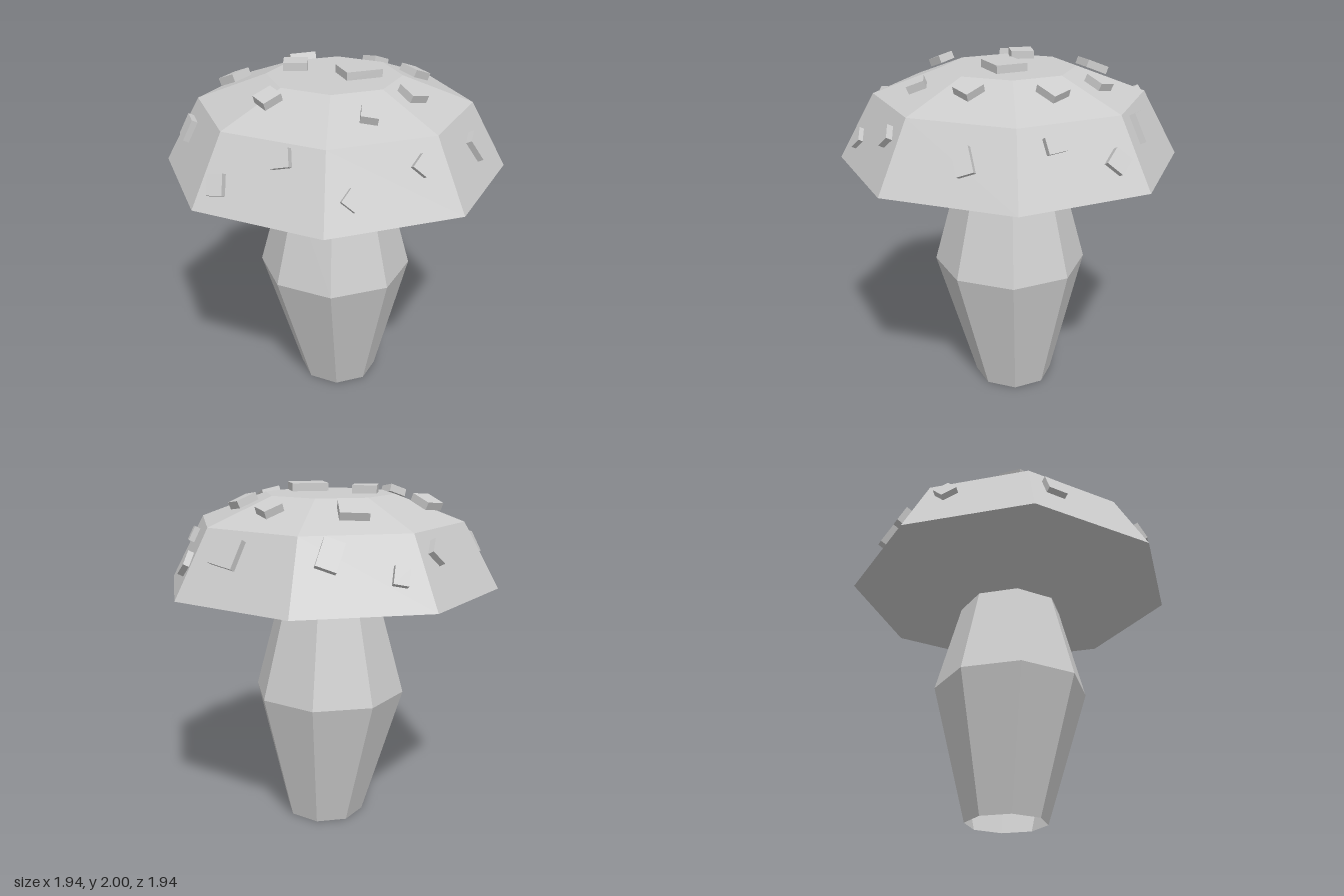
import * as THREE from 'three';

const SIDES = 8;
const APOTHEM = Math.cos(Math.PI / SIDES);

// Cap outline as [radius at the corners, height]
const RIM = [0.97, 1.43], SHOULDER = [0.765, 1.80], CROWN = [0.375, 1.945];
const NECK = [0.305, 1.31];

function lathe(profile) {
  return new THREE.LatheGeometry(profile.map(([r, y]) => new THREE.Vector2(r, y)), SIDES);
}

// Finds the cap facet over (x, z): its surface height, outward normal and sideways direction
function capFacet(x, z) {
  const step = (2 * Math.PI) / SIDES;
  const a = (Math.floor(Math.atan2(z, x) / step) + 0.5) * step;
  const r = (x * Math.cos(a) + z * Math.sin(a)) / APOTHEM;
  if (r < CROWN[0]) {
    return { y: CROWN[1], normal: new THREE.Vector3(0, 1, 0), side: new THREE.Vector3(1, 0, 0) };
  }
  const [low, high] = r > SHOULDER[0] ? [RIM, SHOULDER] : [SHOULDER, CROWN];
  const run = low[0] - high[0], rise = high[1] - low[1];
  const y = low[1] + ((low[0] - r) / run) * rise;
  const out = new THREE.Vector3(Math.cos(a), 0, Math.sin(a));
  const normal = out.clone().multiplyScalar(rise).setY(run * APOTHEM).normalize();
  return { y, normal, side: new THREE.Vector3(out.z, 0, -out.x) };
}

// Spots as [x, z, width, height, spin in degrees, lift of the centre]
const SPOTS = [
  // crown
  [0.07, 0.12, 0.205, 0.18, -22, 0.033],
  [-0.10, -0.21, 0.135, 0.13, -41, 0.033],
  // upper slope
  [-0.36, -0.43, 0.13, 0.12, -13, 0.04],
  [-0.50, 0.05, 0.10, 0.11, -28, 0.038],
  [0.19, -0.51, 0.155, 0.135, -6, 0.036],
  [0.49, -0.175, 0.11, 0.11, -25, 0.022],
  [0.46, 0.175, 0.12, 0.125, 22, 0.022],
  [0.14, 0.46, 0.115, 0.115, -29, 0.022],
  [-0.215, 0.50, 0.09, 0.10, -23, 0.025],
  // lower slope
  [-0.66, -0.465, 0.115, 0.125, -3, 0.027],
  [-0.14, -0.78, 0.10, 0.10, 40, 0.027],
  [0.13, -0.835, 0.08, 0.10, -12, 0.03],
  [0.43, -0.655, 0.11, 0.16, -22, 0.035],
  [0.755, -0.20, 0.165, 0.16, -8, 0.027],
  [0.84, 0.12, 0.10, 0.10, 45, 0.025],
  [0.66, 0.40, 0.10, 0.085, 5, 0.022],
  [0.36, 0.72, 0.09, 0.138, 22, 0.025],
  [-0.13, 0.79, 0.085, 0.085, 45, 0.027],
  [-0.505, 0.685, 0.085, 0.085, 45, 0.01],
  [-0.67, 0.36, 0.10, 0.095, 15, 0.035],
  [-0.87, 0.09, 0.09, 0.11, 10, 0.027],
];

export function createModel() {
  const model = new THREE.Group();
  model.name = 'mushroom';
  const grey = new THREE.MeshStandardMaterial({
    name: 'pale grey', color: 0xcccccc, flatShading: true, side: THREE.DoubleSide,
  });
  const add = (name, geometry, parent = model) => {
    const mesh = new THREE.Mesh(geometry, grey);
    mesh.name = name;
    parent.add(mesh);
    return mesh;
  };

  // Stem: open faceted tube whose foot leans slightly sideways
  const stem = lathe([[0.235, 0], [0.45, 0.78], NECK]);
  const p = stem.attributes.position;
  for (let i = 0; i < p.count; i++) {
    p.setX(i, p.getX(i) + (p.getY(i) < 0.1 ? 0.035 : 0.004));
  }
  add('stem', stem);

  // Cap: shallow underside, steep skirt, gentle shoulder and flat crown
  add('cap', lathe([NECK, RIM, SHOULDER, CROWN, [0, CROWN[1]]]));

  // Spots: thin blocks lying on the cap facets
  const spots = new THREE.Group();
  spots.name = 'spots';
  model.add(spots);
  for (const [x, z, w, h, spin, lift] of SPOTS) {
    const { y, normal, side } = capFacet(x, z);
    const up = normal.clone().cross(side);
    const spot = add('spot', new THREE.BoxGeometry(w, h, 0.044), spots);
    spot.quaternion.setFromRotationMatrix(new THREE.Matrix4().makeBasis(side, up, normal));
    spot.rotateZ(THREE.MathUtils.degToRad(spin));
    spot.position.set(x, y + lift, z);
  }
  return model;
}
